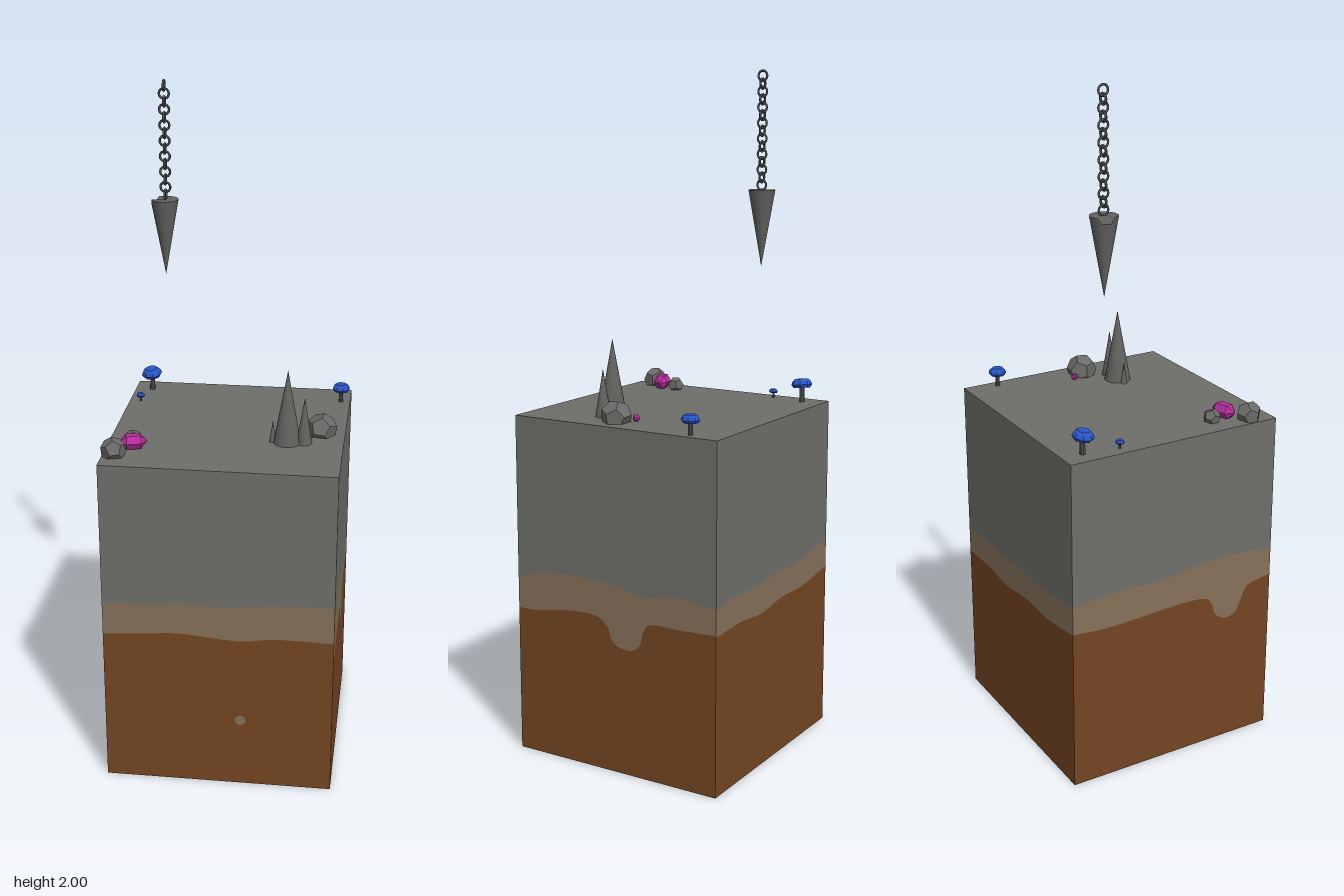
import * as THREE from 'three';

const mat = (name, color, extra = {}) => {
  const m = new THREE.MeshStandardMaterial({ color, ...extra });
  m.name = name;
  return m;
};

export function createModel() {
  const root = new THREE.Group();
  const stone = mat('stone', 0x6e6f69);
  const clay = mat('clay', 0x86715a);
  const soil = mat('soil', 0x744522);
  const rockMat = mat('rock', 0x6a6a68, { flatShading: true });
  const iron = mat('iron', 0x4a4c4c);
  const blue = mat('mushroomBlue', 0x2a55c8, { flatShading: true });
  const pink = mat('crystalPink', 0xb92d9c, { flatShading: true });
  const stemMat = mat('stem', 0x4c524f, { flatShading: true });

  const add = (parent, name, geo, material, x = 0, y = 0, z = 0) => {
    const m = new THREE.Mesh(geo, material);
    m.name = name;
    m.position.set(x, y, z);
    parent.add(m);
    return m;
  };

  // Block: four layered walls, each given by its two wavy strata lines
  const H = 0.337, TOP = 1.02;
  const walls = [
    { name: 'front', turn: 0,
      upper: [[-H, 0.588], [-0.2, 0.59], [-0.1, 0.6], [0, 0.594], [0.1, 0.603], [0.2, 0.61], [H, 0.612]],
      lower: [[-H, 0.485], [-0.2, 0.495], [-0.1, 0.5], [0.06, 0.487], [0.17, 0.5], [H, 0.497]] },
    { name: 'right', turn: 1,
      upper: [[-H, 0.535], [-0.25, 0.56], [-0.15, 0.57], [0, 0.565], [0.1, 0.545], [0.2, 0.562], [H, 0.55]],
      lower: [[-H, 0.44], [-0.27, 0.442], [-0.17, 0.46], [-0.08, 0.465], [-0.04, 0.453], [-0.018, 0.43], [-0.008, 0.4],
        [0.02, 0.381], [0.065, 0.381], [0.09, 0.405], [0.1, 0.44], [0.125, 0.468], [0.22, 0.47], [H, 0.475]] },
    { name: 'back', turn: 2,
      upper: [[-H, 0.55], [-0.22, 0.56], [-0.1, 0.552], [0, 0.565], [0.12, 0.56], [0.22, 0.575], [H, 0.585]],
      lower: [[-H, 0.47], [-0.2, 0.475], [-0.08, 0.465], [0.05, 0.48], [0.18, 0.478], [H, 0.5]] },
    { name: 'left', turn: 3,
      upper: [[-H, 0.585], [-0.2, 0.6], [-0.05, 0.595], [0.08, 0.612], [0.2, 0.615], [H, 0.605]],
      lower: [[-H, 0.5], [-0.2, 0.492], [0, 0.5], [0.1, 0.495], [0.13, 0.47], [0.145, 0.43], [0.18, 0.41],
        [0.215, 0.42], [0.235, 0.46], [0.26, 0.5], [H, 0.515]] },
  ];
  const line = pts => new THREE.SplineCurve(pts.map(p => new THREE.Vector2(...p))).getPoints(60);
  const flat = y => [new THREE.Vector2(-H, y), new THREE.Vector2(H, y)];
  for (const w of walls) {
    const side = new THREE.Group();
    side.name = w.name + 'Wall';
    side.rotation.y = w.turn * Math.PI / 2;
    const levels = [flat(0), line(w.lower), line(w.upper), flat(TOP)];
    ['soilLayer', 'clayLayer', 'stoneLayer'].forEach((n, i) => {
      const shape = new THREE.Shape([...levels[i], ...levels[i + 1].slice().reverse()]);
      add(side, n, new THREE.ShapeGeometry(shape), [soil, clay, stone][i], 0, 0, H);
    });
    root.add(side);
  }
  const cover = new THREE.PlaneGeometry(2 * H, 2 * H);
  add(root, 'blockTop', cover, stone, 0, TOP, 0).rotation.x = -Math.PI / 2;
  add(root, 'blockBottom', cover, stone).rotation.x = Math.PI / 2;
  add(root, 'claySpot', new THREE.CircleGeometry(0.016, 12), clay, 0.067, 0.22, H + 0.001);

  // Stalagmites
  const cone = mat('stalagmite', 0x62625f);
  for (const [x, z, r, h] of [[0.174, 0.107, 0.04, 0.22], [0.223, 0.107, 0.023, 0.14], [0.132, 0.105, 0.01, 0.065]])
    add(root, 'stalagmite', new THREE.ConeGeometry(r, h, 20), cone, x, TOP + h / 2, z);

  // Rocks
  for (const [x, z, r, y, turn] of [[0.268, 0.032, 0.046, 1.037, 0.4], [-0.265, 0.163, 0.026, 1.033, 1.1], [-0.304, 0.264, 0.037, 1.038, 0.8]]) {
    const m = add(root, 'rock', new THREE.DodecahedronGeometry(r), rockMat, x, y, z);
    m.rotation.set(0.5, turn, 0.3);
  }

  // Crystals: six-sided prisms with pointed ends
  const crystal = (x, y, z, r, half, turn, tilt) => {
    const prof = [[0, -half], [r, -half * 0.5], [r, half * 0.5], [0, half]].map(p => new THREE.Vector2(...p));
    const m = add(root, 'crystal', new THREE.LatheGeometry(prof, 6), pink, x, y, z);
    m.rotation.set(0, turn, tilt);
  };
  crystal(-0.257, 1.043, 0.209, 0.023, 0.041, 0.3, Math.PI / 2);
  crystal(0.232, 1.03, -0.012, 0.009, 0.013, 0.5, 0.9);

  // Mushrooms: octagonal caps on thin stems
  const mushroom = (x, z, r, h, tilt) => {
    const g = new THREE.Group();
    g.name = 'mushroom';
    g.position.set(x, TOP, z);
    const capH = r * 0.85;
    add(g, 'stem', new THREE.CylinderGeometry(r * 0.22, r * 0.27, h - capH * 0.6, 7), stemMat, 0, (h - capH * 0.6) / 2, 0);
    const prof = [[0, 0], [r * 0.8, 0], [r, capH * 0.35], [r * 0.85, capH * 0.75], [r * 0.6, capH], [0, capH]]
      .map(p => new THREE.Vector2(...p));
    const cap = add(g, 'cap', new THREE.LatheGeometry(prof, 8), blue, 0, h - capH, 0);
    cap.rotation.set(tilt, 0.3, tilt);
    root.add(g);
  };
  mushroom(-0.285, -0.272, 0.032, 0.07, 0.1);
  mushroom(0.309, -0.237, 0.027, 0.057, 0);
  mushroom(-0.303, -0.165, 0.0135, 0.026, 0);

  // Hanging spike with a chipped rim
  const hanging = new THREE.Group();
  hanging.name = 'hangingSpike';
  hanging.position.set(-0.217, 0, -0.164);
  root.add(hanging);
  const spike = new THREE.ConeGeometry(0.04, 0.225, 20);
  spike.rotateX(Math.PI);
  const p = spike.attributes.position;
  for (let i = 0; i < p.count; i++)
    if (p.getY(i) > 0 && p.getX(i) < -0.03 && p.getZ(i) < 0.01) p.setY(i, p.getY(i) - 0.015);
  add(hanging, 'spike', spike, cone, 0, 1.5425, 0);

  // Chain of alternating round links
  const link = new THREE.TorusGeometry(0.0145, 0.0035, 6, 14);
  for (let i = 0; i < 15; i++)
    add(hanging, 'chainLink', link, iron, 0.002, 1.982 - i * 0.0224, 0).rotation.y = i % 2 ? 0 : Math.PI / 2;

  return root;
}
